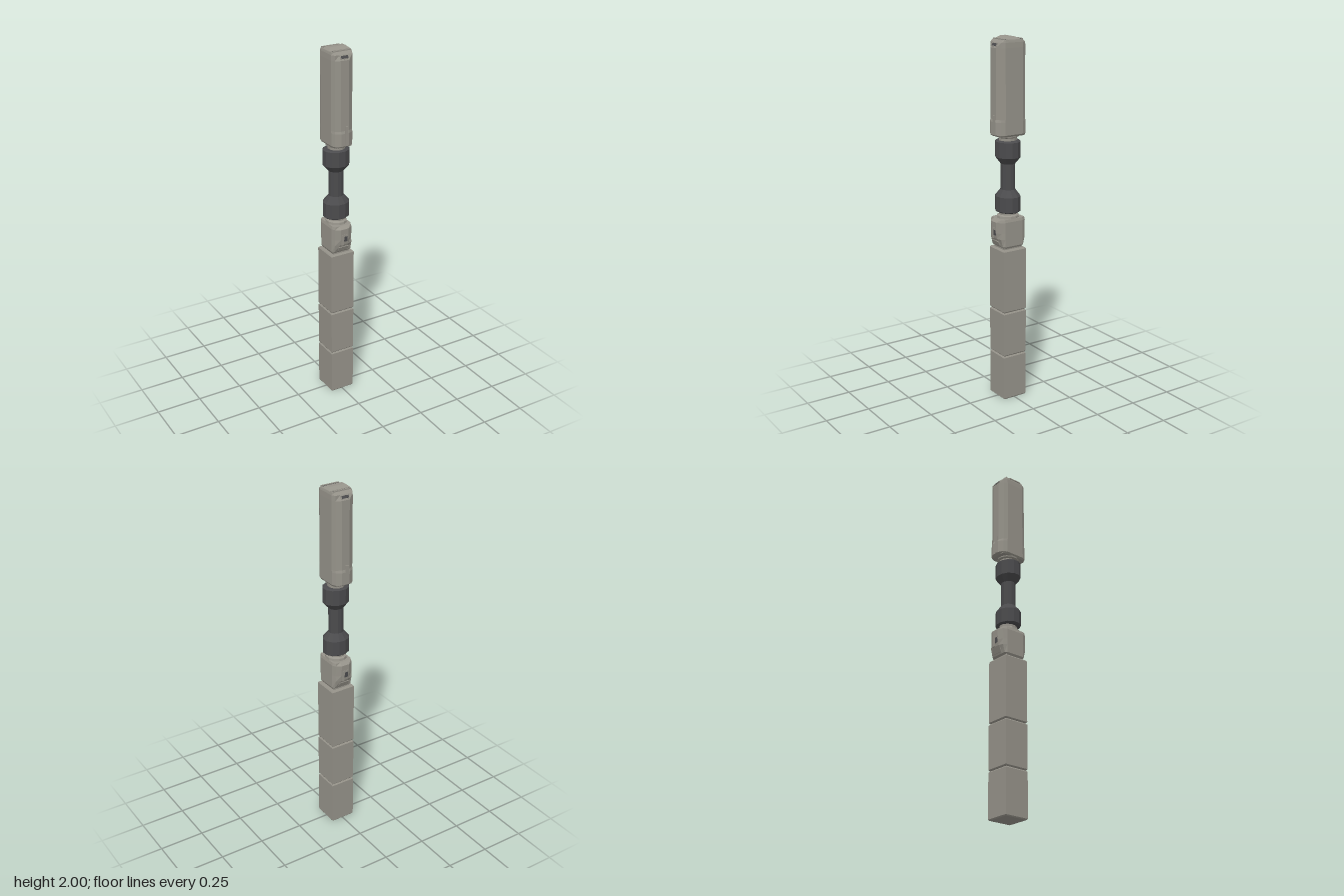
import * as THREE from 'three';

// Joins horizontal rings of [x, y, z] points (listed upwards) into a flat-faced solid
function loft(rings) {
  const pos = [];
  const n = rings[0].length;
  const tri = (a, b, c) => pos.push(...a, ...b, ...c);
  for (let i = 0; i < rings.length - 1; i++) {
    for (let j = 0; j < n; j++) {
      const k = (j + 1) % n, lo = rings[i], hi = rings[i + 1];
      tri(lo[j], hi[j], lo[k]);
      tri(lo[k], hi[j], hi[k]);
    }
  }
  const bottom = rings[0], top = rings[rings.length - 1];
  for (let j = 1; j < n - 1; j++) {
    tri(bottom[0], bottom[j], bottom[j + 1]);
    tri(top[0], top[j + 1], top[j]);
  }
  const g = new THREE.BufferGeometry();
  g.setAttribute('position', new THREE.Float32BufferAttribute(pos, 3));
  g.computeVertexNormals();
  return g;
}

// Mirrors a quarter outline [x, z] into a full ring
function quarterRing(y, q) {
  const r = [...q].reverse();
  return [
    ...q.map(([x, z]) => [x, y, z]), ...r.map(([x, z]) => [-x, y, z]),
    ...q.map(([x, z]) => [-x, y, -z]), ...r.map(([x, z]) => [x, y, -z]),
  ];
}

// Housing outline: flat sides, bowed front and back; limit cuts the bow off flat
const housingRing = (y, hx, hz, limit = 1) => quarterRing(y,
  [[1, 0.6], [0.84, 0.83], [0.38, 1]].map(([x, z]) => [x * hx, Math.min(z * hz, limit)]));

const rectRing = (y, hx, hz) => quarterRing(y, [[hx, hz]]);

// Faceted ellipse
function roundRing(y, rx, rz, sides = 12) {
  return Array.from({ length: sides }, (_, i) => {
    const a = ((i + 0.5) / sides) * Math.PI * 2;
    return [Math.cos(a) * rx, y, Math.sin(a) * rz];
  });
}

export function createModel() {
  const model = new THREE.Group();
  const grey = new THREE.MeshStandardMaterial({ color: 0x96938a });
  grey.name = 'warm grey';
  const dark = new THREE.MeshStandardMaterial({ color: 0x4b4b4d });
  dark.name = 'dark grey';

  const add = (name, geometry, material, parent = model) => {
    const mesh = new THREE.Mesh(geometry, material);
    mesh.name = name;
    parent.add(mesh);
    return mesh;
  };
  const plate = (name, w, h, d, x, y, z, material, parent) => {
    const mesh = add(name, new THREE.BoxGeometry(w, h, d), material, parent);
    mesh.position.set(x, y, z);
    return mesh;
  };

  // Three stacked blocks with narrow bevelled joints
  for (const [y0, y1] of [[0, 0.255], [0.258, 0.51], [0.513, 0.868]]) {
    add('shaftBlock', loft([
      rectRing(y0, 0.066, 0.067), rectRing(y0 + 0.006, 0.07, 0.072),
      rectRing(y1 - 0.006, 0.07, 0.072), rectRing(y1, 0.066, 0.067),
    ]), grey).position.z = -0.001;
  }
  add('blockJoints', loft([rectRing(0.2, 0.06, 0.06), rectRing(0.6, 0.06, 0.06)]), grey);
  add('shaftNeck', loft([rectRing(0.86, 0.05, 0.055), rectRing(0.885, 0.05, 0.055)]), grey);

  // Lower housing, chamfered in towards the blocks
  add('lowerHousing', loft([
    housingRing(0.876, 0.055, 0.092, 0.055), housingRing(0.886, 0.06, 0.092, 0.066),
    housingRing(0.93, 0.06, 0.092, 0.085), housingRing(0.962, 0.06, 0.09),
    housingRing(1.022, 0.06, 0.092), housingRing(1.037, 0.056, 0.092, 0.074),
  ]), grey);

  // Grip: two collars flaring from a slim core
  add('grip', loft([
    [1.068, 0.066, 0.058], [1.074, 0.074, 0.066], [1.155, 0.074, 0.066],
    [1.192, 0.042, 0.039], [1.332, 0.042, 0.039], [1.368, 0.074, 0.066],
    [1.452, 0.074, 0.066], [1.458, 0.066, 0.058],
  ].map(([y, rx, rz]) => roundRing(y, rx, rz))), dark);

  // Stepped necks between grip and housings
  for (const [y, up] of [[1.037, 1], [1.49, -1]]) {
    const steps = [[0, 0.058], [0.012, 0.056], [0.018, 0.046], [0.036, 0.046]]
      .map(([d, r]) => roundRing(y + up * d, r, r * 1.08));
    add('gripNeck', loft(up > 0 ? steps : steps.reverse()), grey);
  }

  // Upper housing with a flared foot and a sloped crown
  add('upperHousing', loft([
    housingRing(1.484, 0.054, 0.092, 0.078), housingRing(1.494, 0.061, 0.093),
    housingRing(1.562, 0.061, 0.093), housingRing(1.576, 0.061, 0.089),
    housingRing(1.945, 0.061, 0.089), housingRing(1.972, 0.06, 0.089, 0.074),
    housingRing(1.985, 0.057, 0.089, 0.06),
  ]), grey);
  add('crownRidge', loft([
    rectRing(1.98, 0.063, 0.037), rectRing(1.987, 0.061, 0.036), rectRing(2, 0.046, 0.014),
  ]), grey);

  // Details repeated on the front and the back
  for (const side of ['front', 'back']) {
    const face = new THREE.Group();
    face.name = side + 'Details';
    if (side === 'back') face.rotation.y = Math.PI;
    model.add(face);

    plate('crownRail', 0.104, 0.006, 0.006, 0, 1.987, 0.055, grey, face);
    plate('crownSlot', 0.096, 0.003, 0.006, 0, 1.985, 0.046, dark, face);

    // Small framed vent on the crown slope
    const vent = new THREE.Group();
    vent.name = 'crownVent';
    vent.position.set(0, 1.9605, 0.082);
    vent.rotation.x = -0.5;
    face.add(vent);
    plate('ventOpening', 0.042, 0.014, 0.003, 0, 0, 0, dark, vent);
    for (const s of [-1, 1]) {
      plate('ventLip', 0.05, 0.003, 0.005, 0, s * 0.009, 0, grey, vent);
      plate('ventEnd', 0.004, 0.021, 0.005, s * 0.023, 0, 0, grey, vent);
    }

    // Latch strip on the flared foot
    plate('footLatch', 0.018, 0.1, 0.006, 0.008, 1.548, 0.0915, grey, face);

    // Hook-shaped latch and lower tab on the lower housing
    plate('latchStem', 0.016, 0.052, 0.008, -0.012, 0.956, 0.088, grey, face);
    plate('latchTop', 0.042, 0.012, 0.008, 0, 0.984, 0.088, grey, face);
    plate('latchGap', 0.02, 0.03, 0.004, 0.008, 0.963, 0.089, dark, face);
    const tab = plate('lowerTab', 0.06, 0.024, 0.006, 0, 0.905, 0.075, grey, face);
    tab.rotation.x = 0.41;
  }
  return model;
}
